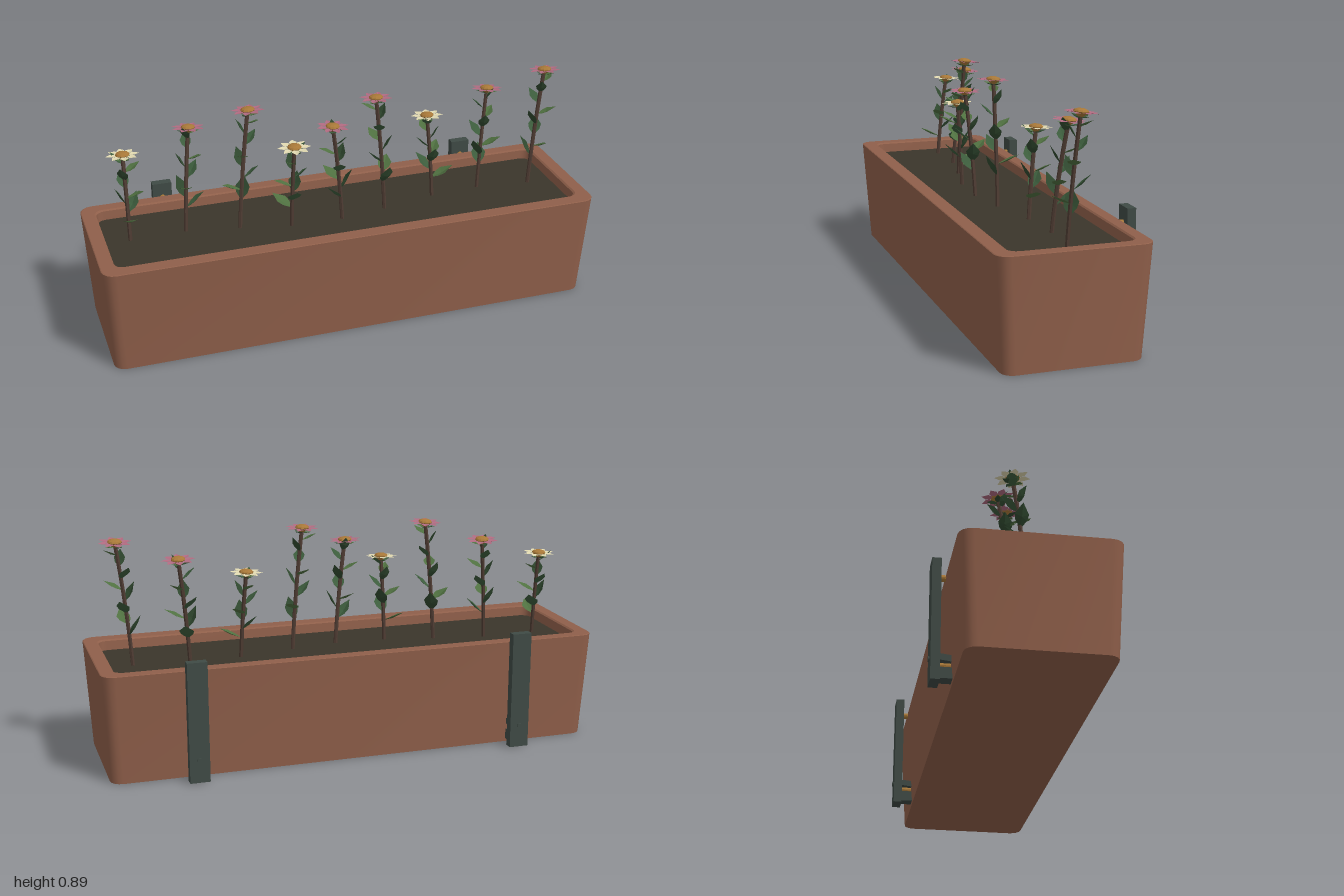
import * as THREE from 'three';
import { toCreasedNormals } from 'three/addons/utils/BufferGeometryUtils.js';

const mat = (color, extra = {}) => {
  const m = new THREE.MeshStandardMaterial(extra);
  m.color.set(color);
  return m;
};
const thin = { side: THREE.DoubleSide, flatShading: true };
const clay = mat(0x8f5f4a), earth = mat(0x3b352a), metal = mat(0x3f4a45);
const brass = mat(0xa87838, { flatShading: true }), bark = mat(0x4f3c33, { flatShading: true });
const greens = [0x4f7040, 0x3c5c3c, 0x30492f].map(c => mat(c, thin));
const pink = mat(0xb06a80, thin), cream = mat(0xe0d8b0, thin);

function add(parent, name, geometry, material, x = 0, y = 0, z = 0) {
  const m = new THREE.Mesh(geometry, material);
  m.name = name;
  m.position.set(x, y, z);
  parent.add(m);
  return m;
}

// Rounded rectangle at height y, from zBack to zFront
function ring(y, hx, zBack, zFront, r) {
  const hz = (zFront - zBack) / 2, cz = (zFront + zBack) / 2, pts = [];
  [[1, 1], [-1, 1], [-1, -1], [1, -1]].forEach(([sx, sz], q) => {
    for (let i = 0; i <= 4; i++) {
      const a = (q + i / 4) * Math.PI / 2;
      pts.push([sx * (hx - r) + r * Math.cos(a), y, cz + sz * (hz - r) + r * Math.sin(a)]);
    }
  });
  return pts;
}

// Skin a list of rings, with optional end caps
function loft(rings, capStart, capEnd) {
  const n = rings[0].length, index = [], verts = rings.flat();
  rings.slice(1).forEach((_, k) => {
    for (let i = 0; i < n; i++) {
      const a = k * n + i, b = k * n + (i + 1) % n;
      index.push(a, a + n, b, b, a + n, b + n);
    }
  });
  const last = (rings.length - 1) * n;
  for (let i = 1; i < n - 1; i++) {
    if (capStart) index.push(0, i, i + 1);
    if (capEnd) index.push(last, last + i + 1, last + i);
  }
  const g = new THREE.BufferGeometry();
  g.setAttribute('position', new THREE.Float32BufferAttribute(verts.flat(), 3));
  g.setIndex(index);
  return toCreasedNormals(g, 0.5);
}

// Pointed, folded blade along +z, unit length
function blade(width, fold) {
  const g = new THREE.BufferGeometry(), w = width / 2;
  g.setAttribute('position', new THREE.Float32BufferAttribute([
    0, 0, 0, w * 0.8, 0, 0.3, w, 0, 0.55, 0, -0.05, 1, -w, 0, 0.55, -w * 0.8, 0, 0.3, 0, -fold, 0.45], 3));
  g.setIndex([0, 6, 1, 1, 6, 2, 2, 6, 3, 3, 6, 4, 4, 6, 5, 5, 6, 0]);
  g.computeVertexNormals();
  return g;
}
const leafGeo = blade(0.58, 0.08), petalGeo = blade(0.62, 0.05);

function addBlade(parent, name, geo, material, pos, yaw, pitch, size) {
  const m = add(parent, name, geo, material, pos.x, pos.y, pos.z);
  m.rotation.set(-pitch, yaw, 0, 'YXZ');
  m.scale.setScalar(size);
}

function createFlower(k, baseX, headX, headZ, headY, petalMat) {
  const g = new THREE.Group();
  g.name = 'flower';
  const baseZ = 0.03 + 0.55 * (headZ - 0.02), bottom = 0.37;
  const curve = new THREE.QuadraticBezierCurve3(
    new THREE.Vector3(baseX, bottom, baseZ),
    new THREE.Vector3(baseX + (headX - baseX) * 0.3, (bottom + headY) / 2, baseZ + (headZ - baseZ) * 0.3),
    new THREE.Vector3(headX, headY, headZ));
  add(g, 'stem', new THREE.TubeGeometry(curve, 8, 0.008, 6), bark);

  // Leaves spiral up the stem, shrinking towards the head
  const count = 8;
  for (let i = 0; i < count; i++) {
    const t = i / (count - 1);
    addBlade(g, 'leaf', leafGeo, greens[(i + k) % 3], curve.getPoint(0.27 + 0.63 * t),
      k * 1.3 + i * 2.4, 0.5 + 0.3 * ((i + k) % 3), 0.1 - 0.03 * t);
  }

  // Head: green sepals, a star of petals and a domed centre
  const head = new THREE.Group();
  head.name = 'head';
  head.position.set(headX, headY, headZ);
  head.rotation.set((headZ - baseZ) * 1.5, k, (baseX - headX) * 1.5);
  g.add(head);
  const calyx = new THREE.CylinderGeometry(0.026, 0.01, 0.014, 8);
  add(head, 'calyx', calyx, brass, 0, -0.008, 0);
  for (let i = 0; i < 8; i++) {
    const a = i * Math.PI / 4, p = new THREE.Vector3(Math.sin(a) * 0.016, 0, Math.cos(a) * 0.016);
    addBlade(head, 'petal', petalGeo, petalMat, p, a, 0.08, 0.05);
  }
  for (let i = 0; i < 4; i++)
    addBlade(head, 'sepal', leafGeo, greens[i % 3], new THREE.Vector3(0, -0.02, 0), i * 1.57 + 0.4, 0.3, 0.045);
  const dome = add(head, 'flowerCentre', new THREE.SphereGeometry(0.028, 10, 6), brass, 0, 0.003, 0);
  dome.scale.y = 0.4;
  return g;
}

function createBracket(x) {
  const g = new THREE.Group();
  g.name = 'bracket';
  g.position.x = x;
  const box = (name, w, h, d, y, z) => add(g, name, new THREE.BoxGeometry(w, h, d), metal, 0, y, z);
  box('upright', 0.078, 0.472, 0.034, 0.238, -0.298);
  box('foot', 0.05, 0.042, 0.06, 0.034, -0.258);
  box('strut', 0.05, 0.024, 0.075, 0.092, -0.262).rotation.x = 0.12;
  // Fixings
  const pin = (name, r, len, y, z, m) => {
    add(g, name, new THREE.CylinderGeometry(r, r, len, 12), m, 0, y, z).rotation.x = Math.PI / 2;
  };
  pin('upperSpacer', 0.012, 0.022, 0.412, -0.272, brass);
  pin('lowerSpacer', 0.011, 0.05, 0.068, -0.26, brass);
  pin('bolt', 0.01, 0.012, 0.092, -0.314, metal);
  return g;
}

export function createModel() {
  const model = new THREE.Group();
  model.name = 'flowerBox';

  // Tapered trough with a thick rim
  add(model, 'trough', loft([
    ring(0, 0.978, -0.235, 0.29, 0.045),
    ring(0.428, 1, -0.26, 0.318, 0.05),
    ring(0.43, 0.997, -0.257, 0.315, 0.048),
    ring(0.43, 0.95, -0.213, 0.262, 0.04),
    ring(0.425, 0.943, -0.207, 0.255, 0.036),
    ring(0.36, 0.938, -0.203, 0.25, 0.036)], true, false), clay);
  add(model, 'soil', loft([
    ring(0.35, 0.94, -0.205, 0.252, 0.036),
    ring(0.388, 0.94, -0.205, 0.252, 0.036)], true, true), earth);

  for (const x of [-0.655, 0.655]) model.add(createBracket(x));

  // Nine flowers in a wavy row: stem base x, head x, head z
  const row = [[-0.84, -0.84, -0.05], [-0.62, -0.58, -0.06], [-0.41, -0.36, 0.01],
    [-0.21, -0.2, 0.09], [0, -0.05, 0.105], [0.19, 0.145, 0.05],
    [0.415, 0.395, -0.035], [0.62, 0.665, -0.06], [0.84, 0.895, -0.012]];
  row.forEach(([bx, hx, hz], k) =>
    model.add(createFlower(k, bx, hx, hz, [0.735, 0.808, 0.88][k % 3], k % 3 ? pink : cream)));
  return model;
}
